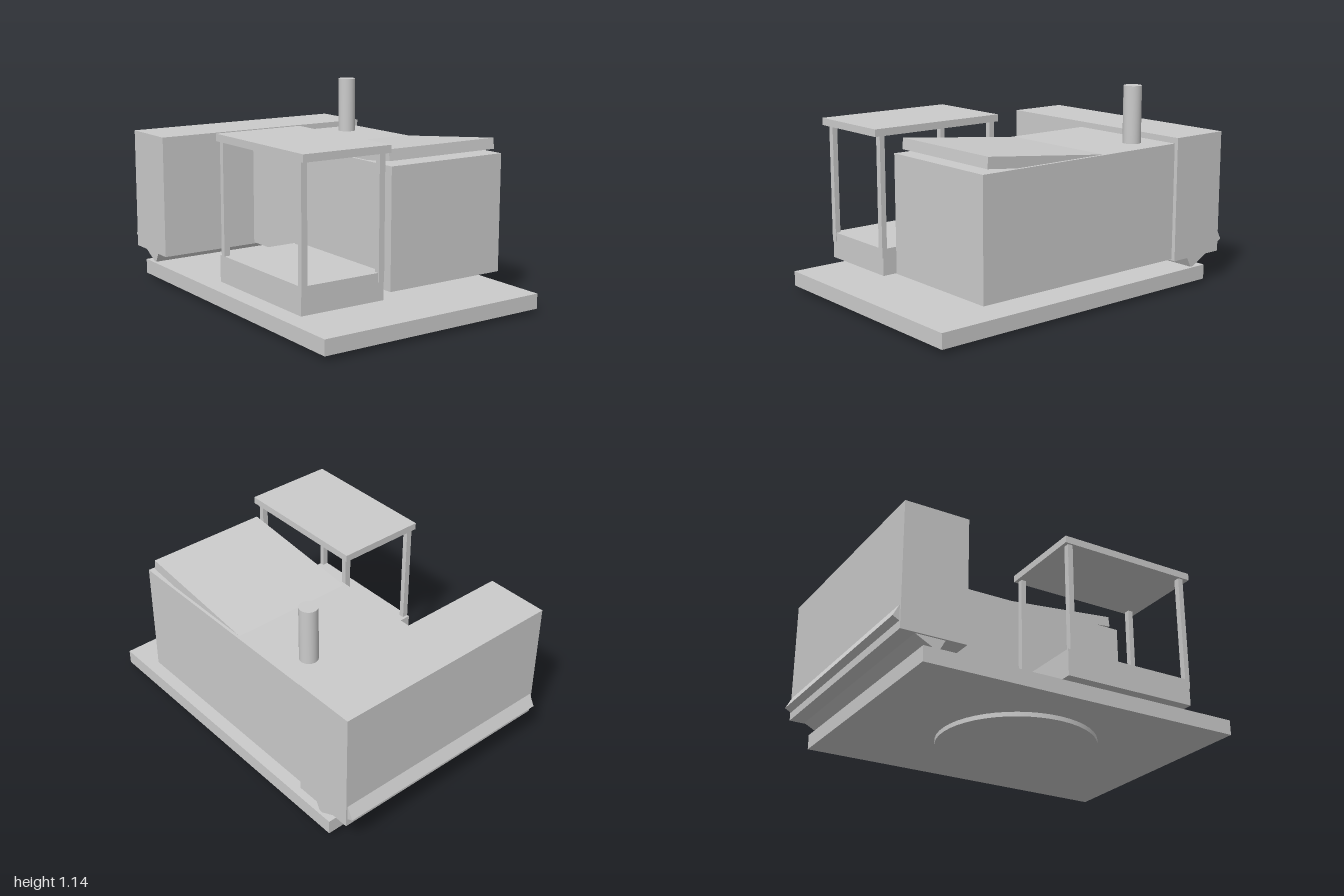
import * as THREE from 'three';

const material = new THREE.MeshStandardMaterial({ color: 0xcccccc });

function add(parent, name, geometry, x, y, z) {
  const mesh = new THREE.Mesh(geometry, material);
  mesh.name = name;
  mesh.position.set(x, y, z);
  parent.add(mesh);
  return mesh;
}

// Box given by its [min, max] extent on each axis
function addBox(parent, name, [x0, x1], [y0, y1], [z0, z1]) {
  return add(parent, name, new THREE.BoxGeometry(x1 - x0, y1 - y0, z1 - z0),
    (x0 + x1) / 2, (y0 + y1) / 2, (z0 + z1) / 2);
}

export function createModel() {
  const model = new THREE.Group();
  model.name = 'machineUpperStructure';

  // Turntable and deck
  add(model, 'slewRing', new THREE.CylinderGeometry(0.44, 0.44, 0.03, 48), 0, 0.015, 0.075);
  addBox(model, 'deck', [-0.683, 0.683], [0.025, 0.108], [-0.845, 1]);

  // Engine housing with its sloping hood and exhaust
  addBox(model, 'engineHousing', [-0.085, 0.653], [0.175, 0.825], [-0.62, 0.725]);
  const hood = add(model, 'hood', new THREE.BoxGeometry(0.706, 0.06, 0.8), 0.284, 0.833, 0.284);
  hood.rotation.x = -0.104;
  add(model, 'exhaust', new THREE.CylinderGeometry(0.05, 0.05, 0.34, 24), 0.481, 0.97, -0.45);

  // Counterweight with a tilted beam through its lower rear edge
  addBox(model, 'counterweight', [-0.678, 0.676], [0.167, 0.858], [-0.965, -0.608]);
  const beam = add(model, 'counterweightBeam', new THREE.BoxGeometry(1.334, 0.15, 0.277), 0, 0.231, -0.843);
  beam.rotation.x = 0.488;

  // Open cab: floor, four posts and roof
  const cab = new THREE.Group();
  cab.name = 'cab';
  model.add(cab);
  addBox(cab, 'cabFloor', [-0.655, -0.157], [0.153, 0.3], [-0.015, 0.76]);
  for (const x of [-0.655, -0.191]) {
    for (const z of [0, 0.735]) {
      addBox(cab, 'cabPost', [x, x + 0.034], [0.25, 0.915], [z, z + 0.03]);
    }
  }
  addBox(cab, 'cabRoof', [-0.666, -0.146], [0.91, 0.95], [-0.02, 0.8]);

  return model;
}
